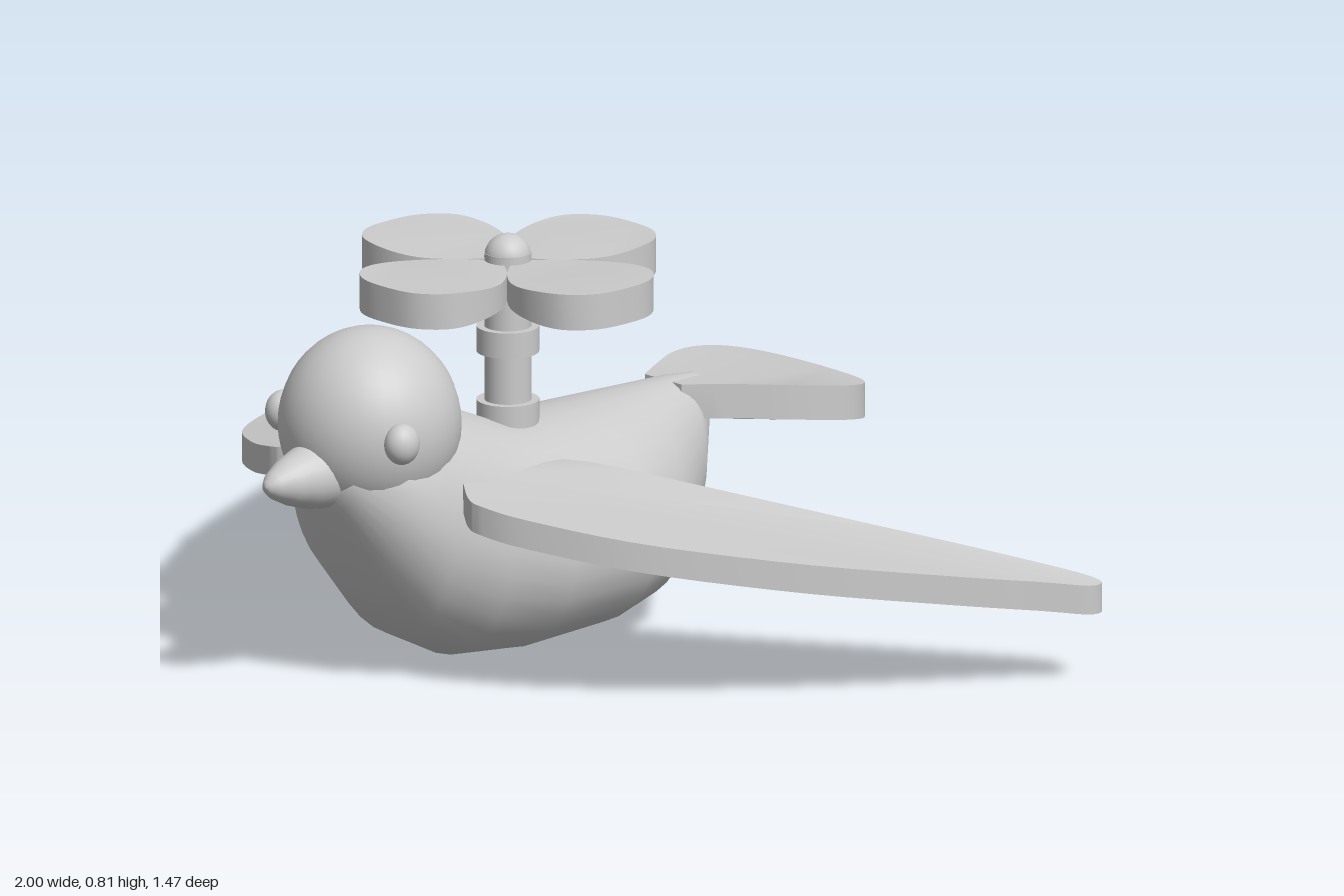
import * as THREE from 'three';
import { toCreasedNormals } from 'three/addons/utils/BufferGeometryUtils.js';

const grey = new THREE.MeshStandardMaterial({ color: 0xcccccc });

function add(parent, name, geometry, x = 0, y = 0, z = 0) {
  const mesh = new THREE.Mesh(geometry, grey);
  mesh.name = name;
  mesh.position.set(x, y, z);
  parent.add(mesh);
  return mesh;
}

// Flat plate from a smooth [x, z] outline, its height then bent by a rule (x, y, z) => y
function plate(points, thickness, bend) {
  const pts = points.map(([x, z]) => new THREE.Vector2(x, -z));
  const shape = new THREE.Shape().moveTo(pts[0].x, pts[0].y).splineThru(pts.slice(1));
  const geo = new THREE.ExtrudeGeometry(shape, { depth: thickness, bevelEnabled: false, curveSegments: 4 });
  geo.rotateX(-Math.PI / 2);
  const p = geo.attributes.position;
  for (let i = 0; i < p.count; i++) p.setY(i, bend(p.getX(i), p.getY(i), p.getZ(i)));
  return toCreasedNormals(geo, 0.6);
}

// Loft of egg-shaped sections: [z, bottom, top, half width]
function loft(sections, sides) {
  const pos = [], index = [];
  sections.forEach(([z, bottom, top, w], i) => {
    const mid = bottom + (top - bottom) * 0.47;
    for (let j = 0; j < sides; j++) {
      const a = (j / sides) * Math.PI * 2, s = Math.sin(a);
      pos.push(w * Math.cos(a), mid + s * (s > 0 ? top - mid : mid - bottom), z);
      if (i === sections.length - 1) continue;
      const k = (j + 1) % sides, r = i * sides, n = r + sides;
      index.push(r + j, n + j, r + k, r + k, n + j, n + k);
    }
  });
  const geo = new THREE.BufferGeometry();
  geo.setAttribute('position', new THREE.Float32BufferAttribute(pos, 3));
  geo.setIndex(index);
  geo.computeVertexNormals();
  return geo;
}

export function createModel() {
  const bird = new THREE.Group();
  bird.name = 'bird';

  // Body
  add(bird, 'body', loft([
    [0.605, 0.42, 0.43, 0.005], [0.585, 0.35, 0.5, 0.09], [0.5, 0.19, 0.56, 0.165],
    [0.41, 0.08, 0.56, 0.188], [0.28, 0.015, 0.51, 0.205], [0.13, 0, 0.445, 0.225],
    [-0.08, 0.008, 0.44, 0.23], [-0.2, 0.03, 0.44, 0.19], [-0.34, 0.15, 0.44, 0.1],
    [-0.4, 0.29, 0.435, 0.045], [-0.42, 0.4, 0.42, 0.003],
  ], 32));

  // Head, beak and eyes
  add(bird, 'head', new THREE.SphereGeometry(1, 32, 24).scale(0.175, 0.187, 0.175), 0, 0.505, 0.455);
  const beakProfile = [[0.066, 0], [0.06, 0.04], [0.045, 0.085], [0.027, 0.12], [0.012, 0.137], [0, 0.14]]
    .map(([r, h]) => new THREE.Vector2(r, h));
  add(bird, 'beak', new THREE.LatheGeometry(beakProfile, 24).rotateX(Math.PI / 2), 0, 0.43, 0.59);
  for (const side of [1, -1]) {
    add(bird, side > 0 ? 'leftEye' : 'rightEye',
      new THREE.SphereGeometry(1, 20, 14).scale(0.032, 0.04, 0.036), side * 0.163, 0.51, 0.527);
  }

  // Swept, drooping wings
  const wing = [[0.12, 0.33], [0.19, 0.39], [0.25, 0.435], [0.29, 0.44], [0.38, 0.4], [0.55, 0.26],
    [0.73, 0.02], [0.87, -0.23], [0.955, -0.4], [1, -0.49], [0.97, -0.52], [0.83, -0.42],
    [0.57, -0.215], [0.3, -0.02], [0.12, 0.1]];
  for (const side of [1, -1]) {
    add(bird, side > 0 ? 'leftWing' : 'rightWing',
      plate(wing.map(([x, z]) => [x * side, z]), 0.057, (x, y, z) => {
        const d = Math.max(Math.abs(x) - 0.2, 0);
        return 0.353 + y + 0.06 * (z - 0.44) - 0.16 * d - 0.04 * d * d;
      }));
  }

  // Tail fan, curving down to the back
  const tailHalf = [[0.05, -0.32], [0.1, -0.4], [0.16, -0.5], [0.192, -0.6], [0.18, -0.675], [0.12, -0.72]];
  const tail = [...tailHalf, [0, -0.735], ...tailHalf.map(([x, z]) => [-x, z]).reverse()];
  add(bird, 'tail', plate(tail, 0.068, (x, y, z) => {
    const d = -0.32 - z;
    return 0.368 + y - 0.04 * d - 0.22 * d * d;
  }));

  // Rotor shaft, collars and cap
  const rotor = new THREE.Group();
  rotor.name = 'rotor';
  rotor.position.z = 0.09;
  bird.add(rotor);
  add(rotor, 'shaft', new THREE.CylinderGeometry(0.045, 0.045, 0.36, 28), 0, 0.59, 0);
  for (const y of [0.455, 0.6]) add(rotor, 'collar', new THREE.CylinderGeometry(0.06, 0.06, 0.05, 28), 0, y, 0);
  add(rotor, 'cap', new THREE.SphereGeometry(0.045, 24, 16), 0, 0.761, 0);

  // Four petal blades, thicker towards the tip
  const bladeHalf = [[0.03, 0.02], [0.07, 0.07], [0.13, 0.115], [0.2, 0.132], [0.27, 0.12], [0.315, 0.07]];
  const blade = [...bladeHalf, [0.325, 0], ...bladeHalf.map(([x, z]) => [x, -z]).reverse()];
  for (let i = 0; i < 4; i++) {
    const mesh = add(rotor, 'blade', plate(blade, 1, (x, y) =>
      (y - 0.5) * (0.05 + 0.02 * THREE.MathUtils.smoothstep(x, 0.1, 0.28))), 0, 0.73, 0);
    mesh.rotation.y = (i * Math.PI) / 2;
  }

  return bird;
}
